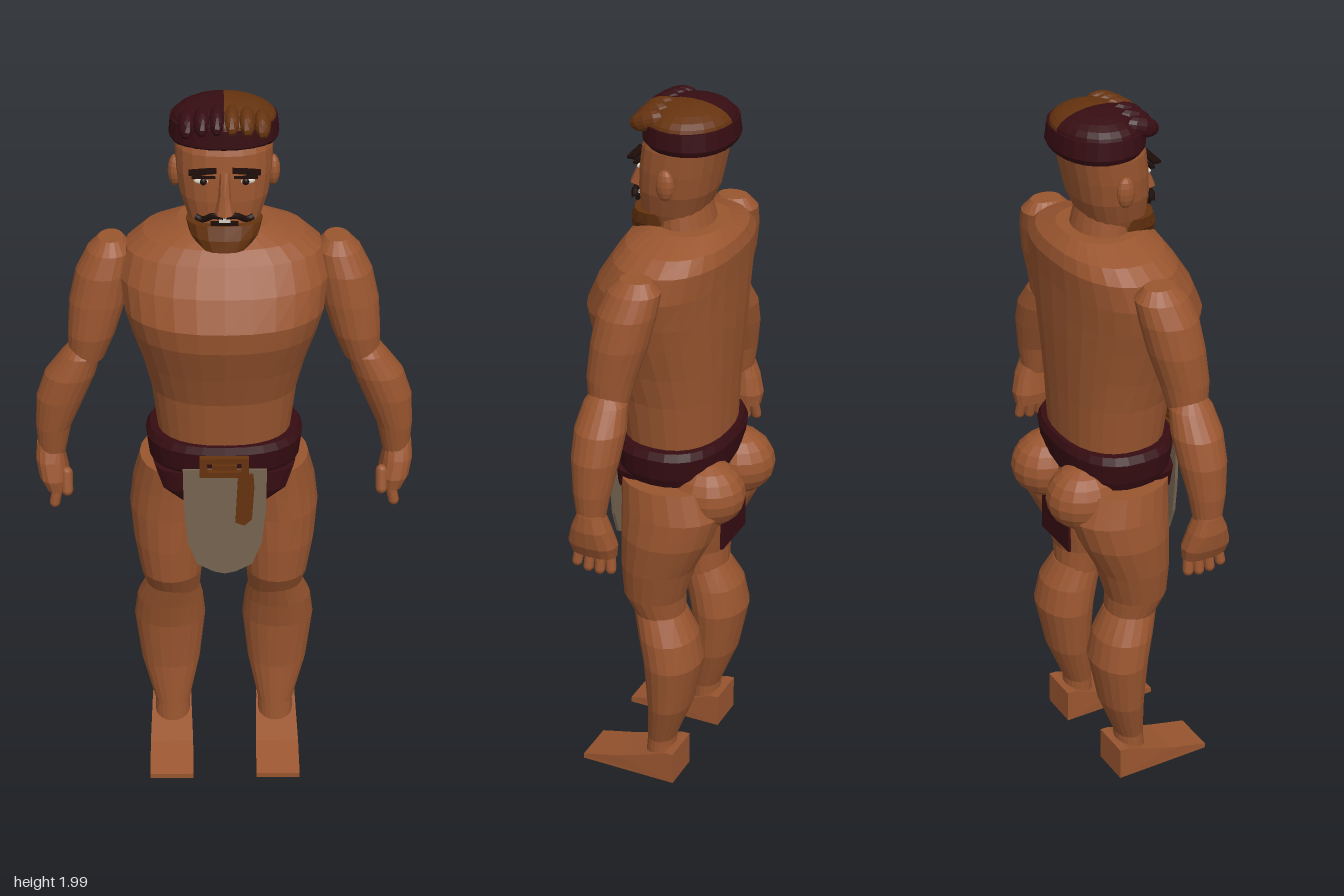
import * as THREE from 'three';

const paint = (name, color) => {
  const m = new THREE.MeshStandardMaterial({ color });
  m.name = name;
  return m;
};

// Facet every face of a geometry
function facet(geo) {
  const g = geo.index ? geo.toNonIndexed() : geo;
  g.computeVertexNormals();
  return g;
}

// Stack of rounded rings; each section is [y, xMin, xMax, zFront, zBack]
function loft(sections, n = 20, power = 2) {
  const rows = [...sections].sort((a, b) => a[0] - b[0]);
  const pos = [], idx = [];
  const bend = v => Math.sign(v) * Math.abs(v) ** (2 / power);
  rows.forEach(([y, xa, xb, zf, zb]) => {
    for (let j = 0; j < n; j++) {
      const a = (j / n) * Math.PI * 2;
      pos.push((xa + xb) / 2 + Math.abs(xb - xa) / 2 * bend(Math.cos(a)), y,
        (zf + zb) / 2 + (zf - zb) / 2 * bend(Math.sin(a)));
    }
  });
  const last = rows.length - 1;
  for (let i = 0; i < last; i++) for (let j = 0; j < n; j++) {
    const k = (j + 1) % n, a = i * n + j, b = i * n + k;
    idx.push(a, a + n, b, b, a + n, b + n);
  }
  [0, last].forEach(i => {
    const [y, xa, xb, zf, zb] = rows[i], c = pos.length / 3;
    pos.push((xa + xb) / 2, y, (zf + zb) / 2);
    for (let j = 0; j < n; j++) {
      const a = i * n + j, b = i * n + (j + 1) % n;
      idx.push(c, ...(i === 0 ? [a, b] : [b, a]));
    }
  });
  const g = new THREE.BufferGeometry();
  g.setAttribute('position', new THREE.Float32BufferAttribute(pos, 3));
  g.setIndex(idx);
  return facet(g);
}

// Symmetric section, and a section mirrored to either side
const mid = (y, w, zf, zb) => [y, -w, w, zf, zb];
const onSide = (rows, s) => rows.map(([y, a, b, f, k]) => [y, a * s, b * s, f, k]);

// Flat plate cut from an outline
function plate(points, depth, holes = []) {
  const shape = new THREE.Shape(points.map(p => new THREE.Vector2(...p)));
  holes.forEach(h => shape.holes.push(new THREE.Path(h.map(p => new THREE.Vector2(...p)))));
  return new THREE.ExtrudeGeometry(shape, { depth, bevelEnabled: false });
}
const rect = (x0, y0, x1, y1) => [[x0, y0], [x1, y0], [x1, y1], [x0, y1]];

const ball = (rx, ry, rz, w = 12, h = 8) => facet(new THREE.SphereGeometry(1, w, h).scale(rx, ry, rz));

export function createModel() {
  const group = new THREE.Group();
  const skin = paint('skin', 0x99552f);
  const maroon = paint('maroon', 0x360d12);
  const brown = paint('brown', 0x66330f);
  const cloth = paint('cloth', 0x756450);
  const dark = paint('dark hair', 0x1c0c08);
  const white = paint('white', 0xd8cfc0);
  const add = (name, geo, mat, x = 0, y = 0, z = 0) => {
    const m = new THREE.Mesh(geo, mat);
    m.name = name;
    m.position.set(x, y, z);
    group.add(m);
    return m;
  };

  // Trunk
  add('torso', loft([
    mid(0.93, 0.17, 0.11, -0.13), mid(1.07, 0.18, 0.14, -0.14), mid(1.2, 0.195, 0.155, -0.145),
    mid(1.29, 0.215, 0.185, -0.15), mid(1.39, 0.245, 0.222, -0.155), mid(1.45, 0.262, 0.228, -0.157),
    mid(1.53, 0.272, 0.19, -0.16), mid(1.6, 0.255, 0.145, -0.165), mid(1.635, 0.21, 0.12, -0.155),
    mid(1.665, 0.12, 0.075, -0.12)], 28, 2.3), skin);
  add('pelvis', loft([mid(0.84, 0.07, 0.06, -0.1), mid(0.9, 0.15, 0.1, -0.14), mid(0.98, 0.18, 0.12, -0.14)]), skin);

  // Head
  add('neck', loft([mid(1.62, 0.1, 0.06, -0.1), mid(1.72, 0.085, 0.06, -0.075)]), skin);
  add('head', loft([
    mid(1.655, 0.075, 0.085, -0.05), mid(1.7, 0.095, 0.1, -0.07), mid(1.76, 0.115, 0.102, -0.095),
    mid(1.82, 0.123, 0.098, -0.108), mid(1.88, 0.125, 0.09, -0.12), mid(1.95, 0.11, 0.06, -0.11)], 20, 2.4), skin);
  add('nose', loft([
    mid(1.725, 0.016, 0.12, 0.08), mid(1.74, 0.026, 0.148, 0.08),
    mid(1.78, 0.016, 0.13, 0.08), mid(1.84, 0.012, 0.105, 0.08)], 8), skin);
  add('beard', loft([
    mid(1.635, 0.065, 0.135, 0.0), mid(1.665, 0.09, 0.13, -0.02), mid(1.7, 0.098, 0.116, -0.01)], 16, 2.4), brown);
  add('mouth', plate(rect(-0.035, 1.703, 0.035, 1.713), 0.008), dark, 0, 0, 0.108);
  add('teeth', plate(rect(-0.014, 1.712, 0.014, 1.722), 0.008), white, 0, 0, 0.11);

  for (const s of [-1, 1]) {
    add('ear', ball(0.018, 0.042, 0.025), skin, s * 0.125, 1.8, -0.012);
    add('eye', ball(0.024, 0.009, 0.008), white, s * 0.053, 1.815, 0.088);
    add('pupil', ball(0.009, 0.009, 0.006), dark, s * 0.053, 1.815, 0.095);
    add('upper eyelid', new THREE.BoxGeometry(0.06, 0.006, 0.012), dark, s * 0.053, 1.827, 0.092);
    const brow = add('eyebrow', new THREE.BoxGeometry(0.07, 0.008, 0.022), dark, s * 0.055, 1.845, 0.1);
    brow.rotation.z = -s * 0.08;
    const curl = new THREE.CatmullRomCurve3([[0.004, 1.73, 0.118], [0.03, 1.733, 0.12], [0.055, 1.718, 0.108], [0.072, 1.722, 0.1]]
      .map(([x, y, z]) => new THREE.Vector3(x * s, y, z)));
    add('moustache', new THREE.TubeGeometry(curl, 8, 0.008, 6), dark);
  }

  // Hair: dark band, two-coloured crown, combed locks at the front
  add('hair band', loft([
    mid(1.885, 0.132, 0.075, -0.14), mid(1.9, 0.14, 0.09, -0.148), mid(1.945, 0.136, 0.088, -0.142)], 24, 2.2), maroon);
  for (const s of [-1, 1]) {
    const half = new THREE.SphereGeometry(1, 12, 6, s > 0 ? Math.PI / 2 : -Math.PI / 2, Math.PI, 0, Math.PI / 2);
    add('hair crown', facet(half.scale(0.134, 0.052, 0.113)), s > 0 ? brown : maroon, 0, 1.94, -0.027);
  }
  for (let i = 0; i < 6; i++) {
    const x = -0.095 + i * 0.038;
    const lock = add('hair lock', ball(0.021, 0.027, 0.05, 10, 8), x > 0.01 ? brown : maroon, x, 1.962 - x * x, 0.052);
    lock.rotation.set(0.35, 0, 0.12 * (i - 2.5));
  }

  // Limbs
  const upperArm = [
    [1.29, 0.315, 0.41, 0.085, -0.02], [1.36, 0.285, 0.41, 0.095, -0.035], [1.45, 0.255, 0.404, 0.09, -0.06],
    [1.53, 0.24, 0.385, 0.08, -0.075], [1.585, 0.235, 0.355, 0.06, -0.08], [1.615, 0.26, 0.325, 0.03, -0.055]];
  const foreArm = [
    [0.99, 0.43, 0.5, 0.07, 0.0], [1.08, 0.41, 0.505, 0.085, -0.015], [1.17, 0.37, 0.5, 0.097, -0.03],
    [1.24, 0.34, 0.476, 0.1, -0.035], [1.3, 0.325, 0.43, 0.09, -0.025], [1.33, 0.34, 0.405, 0.07, -0.005]];
  const palm = [
    [0.895, 0.425, 0.485, 0.095, -0.03], [0.93, 0.42, 0.502, 0.1, -0.035],
    [0.98, 0.428, 0.51, 0.085, -0.02], [1.025, 0.435, 0.505, 0.065, 0.0]];
  const thigh = [
    [0.53, 0.068, 0.215, 0.06, -0.075], [0.6, 0.062, 0.232, 0.098, -0.075], [0.7, 0.05, 0.25, 0.102, -0.105],
    [0.8, 0.035, 0.26, 0.102, -0.155], [0.88, 0.025, 0.25, 0.105, -0.18], [0.96, 0.03, 0.23, 0.11, -0.15]];
  const calf = [
    [0.06, 0.1, 0.2, 0.035, -0.05], [0.12, 0.1, 0.198, 0.03, -0.05], [0.25, 0.07, 0.236, 0.022, -0.1],
    [0.4, 0.053, 0.255, 0.032, -0.13], [0.48, 0.06, 0.245, 0.05, -0.115], [0.55, 0.072, 0.218, 0.07, -0.078]];
  const footSide = [[-0.07, 0], [0.213, 0], [0.213, 0.015], [0.1, 0.045], [0.0, 0.08], [-0.045, 0.098], [-0.07, 0.1]];

  for (const s of [-1, 1]) {
    add('upper arm', loft(onSide(upperArm, s)), skin);
    add('forearm', loft(onSide(foreArm, s)), skin);
    add('palm', loft(onSide(palm, s), 14, 2.5), skin);
    for (let i = 0; i < 4; i++) {
      const finger = add('finger', new THREE.CapsuleGeometry(0.0145, 0.045, 3, 8), skin,
        s * 0.456, 0.873 + (i === 0 || i === 3 ? 0.008 : 0), 0.078 - i * 0.031);
      finger.rotation.set((i - 1.5) * 0.08, 0, s * 0.2);
    }
    const thumb = add('thumb', new THREE.CapsuleGeometry(0.016, 0.05, 3, 8), skin, s * 0.425, 0.925, 0.08);
    thumb.rotation.x = -0.3;

    add('thigh', loft(onSide(thigh, s)), skin);
    add('calf', loft(onSide(calf, s)), skin);
    add('buttock', ball(0.095, 0.095, 0.11, 16, 10), skin, s * 0.098, 0.925, -0.118);

    // Wedge foot, narrower at the heel
    const foot = plate(footSide, 0.134).rotateY(-Math.PI / 2).translate(0.067, 0, 0);
    const p = foot.attributes.position;
    for (let i = 0; i < p.count; i++) p.setX(i, p.getX(i) * (0.84 + 0.5 * Math.min(0.16, Math.max(0, p.getZ(i) + 0.05))));
    add('foot', facet(foot), skin, s * 0.152, 0, 0);
  }

  // Clothing
  add('waistband', loft([
    mid(0.965, 0.195, 0.135, -0.14), mid(0.99, 0.205, 0.15, -0.152),
    mid(1.05, 0.212, 0.16, -0.16), mid(1.07, 0.2, 0.152, -0.152)], 28, 2.4), maroon);
  add('brief front', loft([
    mid(0.88, 0.12, 0.13, 0.04), mid(0.92, 0.17, 0.138, 0.03), mid(0.98, 0.192, 0.142, -0.02)], 20, 2.8), maroon);
  add('back flap', plate([[-0.075, 0.735], [0.075, 0.735], [0.07, 0.89], [-0.07, 0.89]], 0.008), maroon, 0, 0, -0.158);
  add('loincloth', plate([
    [-0.112, 1.01], [-0.11, 0.88], [-0.1, 0.78], [-0.075, 0.71], [-0.03, 0.685], [0.0, 0.678],
    [0.03, 0.685], [0.075, 0.71], [0.1, 0.78], [0.11, 0.88], [0.112, 1.01]], 0.009), cloth, 0, 0, 0.158);
  add('belt buckle', plate(rect(-0.067, 1.008, 0.063, 1.066), 0.016, [rect(-0.047, 1.024, 0.043, 1.05)]), brown, 0, 0, 0.185);
  add('buckle bar', plate(rect(-0.035, 1.03, 0.032, 1.044), 0.012), brown, 0, 0, 0.187);
  add('hanging strap', plate([[0.035, 1.01], [0.028, 0.86], [0.052, 0.85], [0.072, 0.87], [0.078, 0.97], [0.075, 1.01]].reverse(), 0.009),
    brown, 0, 0, 0.183);
  return group;
}
